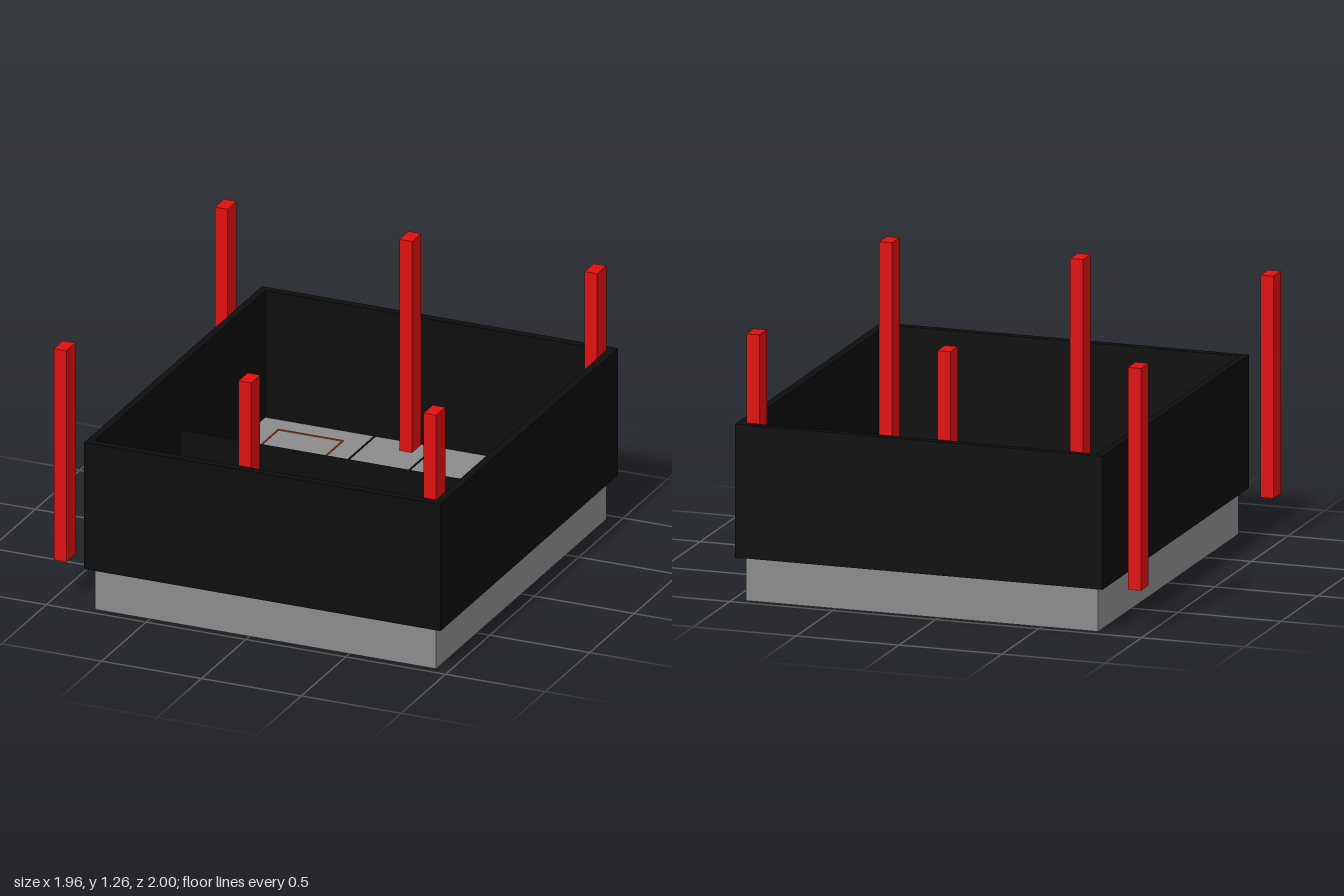
import * as THREE from 'three';

const FLOOR = 0.21, RIM = 0.84;
const X0 = -0.775, X1 = 0.935, Z = 0.96; // inner plan of the enclosure
const CX = (X0 + X1) / 2, W = X1 - X0;

const mat = (color, side = THREE.FrontSide) =>
  new THREE.MeshStandardMaterial({ color, side });
const grey = mat(0x8b8b8b), greyOpen = mat(0x8b8b8b, THREE.DoubleSide);
const black = mat(0x0d0d0d), blackOpen = mat(0x0d0d0d, THREE.DoubleSide);
const red = mat(0xe01010), orange = mat(0xd0512c), green = mat(0x6fae5a);

export function createModel() {
  const model = new THREE.Group();

  const add = (name, geometry, material, x = 0, y = 0, z = 0, parent = model) => {
    const mesh = new THREE.Mesh(geometry, material);
    mesh.name = name;
    mesh.position.set(x, y, z);
    parent.add(mesh);
    return mesh;
  };

  // Plan outline drawn with y = -z, so that extrusions turn to lie flat
  const rect = (C, x0, x1, z) => new C([[x0, -z], [x1, -z], [x1, z], [x0, z]]
    .map(([x, y]) => new THREE.Vector2(x, y)));
  const slab = (shape, depth) => new THREE.ExtrudeGeometry(shape,
    { depth, bevelEnabled: false, curveSegments: 16 }).rotateX(-Math.PI / 2);

  // Base: solid lower block and a floor layer pierced by the recesses
  const LAYER = 0.06;
  add('baseBlock', new THREE.BoxGeometry(W, FLOOR - LAYER, Z * 2), grey,
    CX, (FLOOR - LAYER) / 2, 0);
  const bowls = [[0.435, -0.84, 0.03], [-0.415, -0.485, 0.034]];
  const cup = [0.17, -0.295, 0.045];
  const floorShape = rect(THREE.Shape, X0, X1, Z);
  for (const [x, z, r] of [...bowls, cup]) {
    floorShape.holes.push(new THREE.Path().absarc(x, -z, r, 0, Math.PI * 2, true));
  }
  add('floor', slab(floorShape, LAYER), grey, 0, FLOOR - LAYER, 0);

  // Rounded dimples set into the floor
  for (const [x, z, r] of bowls) {
    add('dimple', new THREE.SphereGeometry(r, 32, 10, 0, Math.PI * 2, Math.PI / 2, Math.PI / 2),
      greyOpen, x, FLOOR, z);
  }
  // Flat bottom of the round cup
  add('cupBottom', new THREE.CylinderGeometry(cup[2], cup[2], 0.04, 32), grey,
    cup[0], FLOOR - 0.035, cup[1]);

  // Surrounding wall
  const wall = rect(THREE.Shape, -0.81, 0.975, 1);
  wall.holes.push(rect(THREE.Path, X0, X1, Z));
  add('wall', slab(wall, RIM - FLOOR), black, 0, FLOOR, 0);

  // Thin cross divider standing on the floor
  const H = 0.31;
  add('divider', new THREE.PlaneGeometry(W, H), blackOpen, CX, FLOOR + H / 2, 0);

  // Posts: three pairs, one pair outside the wall
  const POST = 1.05;
  for (const x of [-0.95, -0.025, 0.903]) {
    for (const side of [-1, 1]) {
      add('post', new THREE.BoxGeometry(0.063, POST, 0.103), red,
        x, FLOOR + POST / 2, side * 0.906);
    }
  }

  // Floor markings: thin strips between two plan points
  const T = 0.006, THICK = 0.006;
  const strip = (name, material, xa, za, xb, zb) => add(name,
    new THREE.BoxGeometry(Math.abs(xb - xa) + T, THICK, Math.abs(zb - za) + T), material,
    (xa + xb) / 2, FLOOR + THICK / 2 - 0.001, (za + zb) / 2);

  strip('centreLine', black, 0.08, -Z, 0.08, Z);
  for (const s of [-1, 1]) {
    // Corner bay with an orange rectangle inside
    strip('bayLine', black, X0, s * 0.535, -0.225, s * 0.535);
    strip('bayLine', black, -0.225, s * 0.535, -0.225, s * Z);
    for (const z of [0.65, 0.848]) strip('bayFrame', orange, -0.66, s * z, -0.337, s * z);
    for (const x of [-0.66, -0.337]) strip('bayFrame', orange, x, s * 0.65, x, s * 0.848);
  }
  // Side zone marked against the wall
  strip('zoneEdge', green, 0.515, -0.42, X1, -0.42);
  strip('zoneSide', grey, 0.515, -0.41, 0.515, 0.415);
  strip('zoneSide', grey, 0.515, 0.415, X1, 0.415);

  return model;
}
